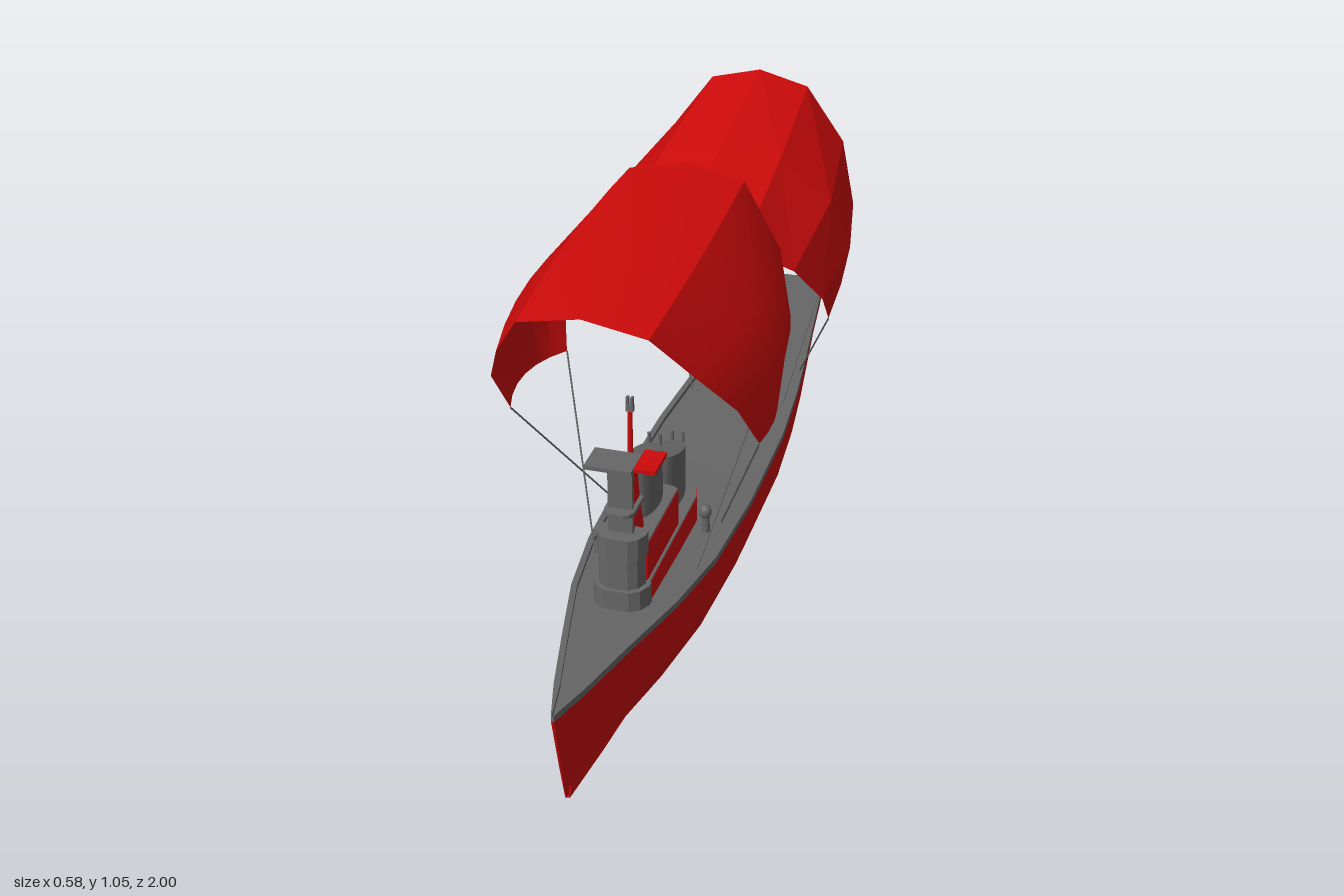
import * as THREE from 'three';
import { mergeVertices, toCreasedNormals } from 'three/addons/utils/BufferGeometryUtils.js';

const CX = 0.012; // centreline of the ship
const material = (color, flatShading = false) =>
  new THREE.MeshStandardMaterial({ color, flatShading, side: THREE.DoubleSide });
const red = material(0xcc0a0a);
const redFlat = material(0xcc0a0a, true);
const grey = material(0x666666);

// Skin through cross-sections ordered from bow to stern
function loft(rings, { closed = false, caps = false } = {}) {
  const n = rings[0].length;
  const pos = rings.flat(2);
  const index = [];
  for (let i = 0; i < rings.length - 1; i++) {
    for (let j = 0; j < (closed ? n : n - 1); j++) {
      const a = i * n + j, c = i * n + (j + 1) % n;
      index.push(a, c, a + n, c, c + n, a + n);
    }
  }
  if (caps) {
    const last = (rings.length - 1) * n;
    for (let j = 1; j < n - 1; j++) {
      index.push(0, j + 1, j, last, last + j, last + j + 1);
    }
  }
  const g = new THREE.BufferGeometry();
  g.setAttribute('position', new THREE.Float32BufferAttribute(pos, 3));
  g.setIndex(index);
  return toCreasedNormals(mergeVertices(g), 0.6);
}

export function createModel() {
  const root = new THREE.Group();
  root.name = 'airship';
  const ship = new THREE.Group();
  ship.name = 'ship';
  ship.position.x = CX;
  root.add(ship);

  const add = (name, geo, mat, x = 0, y = 0, z = 0, parent = ship) => {
    const m = new THREE.Mesh(geo, mat);
    m.name = name;
    m.position.set(x, y, z);
    parent.add(m);
    return m;
  };
  const box = (name, mat, w, y0, y1, z0, z1, x = 0) =>
    add(name, new THREE.BoxGeometry(w, y1 - y0, z1 - z0), mat, x, (y0 + y1) / 2, (z0 + z1) / 2);

  // Hull stations: z, half width, sheer height, bilge half width, bilge height, bilge z
  const stations = [
    [1, 0.003, 0.31, 0.002, 0.065, 0.94],
    [0.9, 0.032, 0.308, 0.012, 0.075, 0.88],
    [0.75, 0.068, 0.306, 0.038, 0.09, 0.74],
    [0.55, 0.115, 0.297, 0.08, 0.096, 0.55],
    [0.35, 0.143, 0.285, 0.108, 0.096, 0.35],
    [0.1, 0.153, 0.278, 0.118, 0.095, 0.1],
    [-0.2, 0.15, 0.278, 0.116, 0.096, -0.2],
    [-0.4, 0.135, 0.282, 0.1, 0.098, -0.4],
    [-0.56, 0.117, 0.286, 0.08, 0.104, -0.56],
    [-0.68, 0.102, 0.289, 0.065, 0.125, -0.68],
    [-0.78, 0.09, 0.293, 0.055, 0.16, -0.77],
    [-1, 0.062, 0.298, 0.042, 0.175, -0.96],
  ];
  const hullRings = stations.map(([z, w, y, wb, yb, zb]) => {
    const top = y - 0.015;
    const half = [[w, top, z], [w * 0.7 + wb * 0.3, yb + (top - yb) * 0.42, z * 0.42 + zb * 0.58], [wb, yb + 0.006, zb]];
    const other = half.map(([px, py, pz]) => [-px, py, pz]).reverse();
    return [...half, [0, yb - 0.002, zb], ...other];
  });
  add('hull', loft(hullRings, { caps: true }), red);

  // Deck sunk behind a raised rim
  const deckRings = stations.map(([z, w, y]) => {
    const wi = Math.max(w - 0.013, w * 0.3);
    const half = [[-w, y - 0.015, z], [-w, y, z], [-wi, y, z], [-wi, y - 0.01, z]];
    return [...half, ...half.map(([px, py, pz]) => [-px, py, pz]).reverse()];
  });
  add('deck', loft(deckRings, { caps: true }), grey);

  // Forward keel, red at the bow and grey toward the pod
  const keelRing = (z, w) =>
    [[w * 0.75, 0.115], [w, 0.08], [w * 0.6, 0.058], [-w * 0.6, 0.058], [-w, 0.08], [-w * 0.75, 0.115]]
      .map(([x, y]) => [x, y, z]);
  add('bowKeel', loft([keelRing(0.93, 0.008), keelRing(0.8, 0.03), keelRing(0.62, 0.045)], { closed: true, caps: true }), red);
  add('aftKeel', loft([keelRing(0.62, 0.045), keelRing(0.36, 0.047)], { closed: true, caps: true }), grey);

  // Rounded pod under the belly
  const podProfile = [[0, -0.343], [0.045, -0.34], [0.07, -0.325], [0.085, -0.29], [0.085, 0.32], [0.074, 0.36], [0.045, 0.39], [0, 0.405]]
    .map(([r, z]) => new THREE.Vector2(r, z));
  const pod = new THREE.LatheGeometry(podProfile, 14);
  pod.rotateX(Math.PI / 2);
  add('bellyPod', toCreasedNormals(pod, 0.7), grey, 0, 0.085, 0);

  // Deckhouses: plan with chamfered corners at the back and front
  function house(name, mat, w, y0, y1, zb, zf, cb, cf) {
    const s = new THREE.Shape();
    const side = [[w * 0.45, zf], [w * 0.8, zf - cf * 0.35], [w, zf - cf], [w, zb + cb], [w * 0.8, zb + cb * 0.35], [w * 0.45, zb]];
    const pts = [...side, ...side.map(([x, z]) => [-x, z]).reverse()];
    s.setFromPoints(pts.map(([x, z]) => new THREE.Vector2(x, -z)));
    const g = new THREE.ExtrudeGeometry(s, { depth: y1 - y0, bevelEnabled: false });
    g.rotateX(-Math.PI / 2);
    return add(name, g, mat, 0, y0, 0);
  }
  house('lowerHouse', red, 0.057, 0.265, 0.33, 0.15, 0.57, 0.05, 0.02);
  house('lowerRoof', grey, 0.056, 0.33, 0.334, 0.152, 0.57, 0.05, 0.02);
  house('upperHouse', red, 0.05, 0.33, 0.418, 0.31, 0.555, 0.01, 0.01);
  house('upperRoof', grey, 0.049, 0.418, 0.423, 0.312, 0.555, 0.01, 0.01);
  house('bridgeBase', grey, 0.06, 0.28, 0.335, 0.54, 0.605, 0.01, 0.04);
  house('bridge', grey, 0.05, 0.33, 0.405, 0.545, 0.595, 0.01, 0.035);
  house('bridgeTop', grey, 0.053, 0.405, 0.455, 0.535, 0.597, 0.01, 0.035);
  house('lookoutPlatform', grey, 0.032, 0.503, 0.512, 0.5, 0.593, 0.01, 0.02);

  // Tapered tower with grey front face
  const towerSide = new THREE.Shape([[0.48, 0.42], [0.56, 0.42], [0.56, 0.598], [0.522, 0.598], [0.508, 0.52]]
    .map(([z, y]) => new THREE.Vector2(-z, y)));
  const tower = new THREE.ExtrudeGeometry(towerSide, { depth: 0.046, bevelEnabled: false });
  tower.translate(0, 0, -0.023);
  tower.rotateY(Math.PI / 2);
  add('tower', tower, red);
  box('towerFront', grey, 0.052, 0.45, 0.6, 0.555, 0.566);
  box('rightYard', grey, 0.1, 0.597, 0.606, 0.5, 0.575, -0.023);
  box('leftYard', red, 0.046, 0.597, 0.606, 0.48, 0.56, 0.05);
  add('mast', new THREE.CylinderGeometry(0.005, 0.006, 0.1, 8), red, 0, 0.652, 0.492);
  for (const s of [-1, 1]) box('mastFork', grey, 0.005, 0.7, 0.73, 0.487, 0.497, s * 0.005);
  box('mastCap', grey, 0.016, 0.698, 0.712, 0.487, 0.497);

  // Oval funnels with tops sloping down toward the stern
  for (const [z, y0, h] of [[0.39, 0.42, 0.125], [0.22, 0.33, 0.125]]) {
    const g = new THREE.CylinderGeometry(1, 1, h, 20);
    g.scale(0.03, 1, 0.07);
    g.translate(0, h / 2, 0);
    const p = g.attributes.position;
    for (let i = 0; i < p.count; i++) {
      if (p.getY(i) > h / 2) p.setY(i, h + p.getZ(i) * 0.25);
    }
    add('funnel', toCreasedNormals(g, 0.6), grey, 0, y0, z);
    for (const s of [-1, 1]) {
      add('funnelPipe', new THREE.CylinderGeometry(0.004, 0.004, h + 0.01, 6), grey, s * 0.012, y0 + h / 2 + 0.003, z - 0.064);
    }
  }

  // Cowl vents beside the deckhouse
  for (const s of [-1, 1]) {
    add('ventStem', new THREE.CylinderGeometry(0.008, 0.009, 0.055, 10), grey, s * 0.088, 0.295, 0.24);
    const cowl = add('ventCowl', new THREE.SphereGeometry(0.014, 10, 8), grey, s * 0.088, 0.325, 0.244);
    cowl.scale.y = 1.2;
  }

  // Canopy sails: half arch from apex to hem, each row [front x,y,z], [back x,y,z]
  function sail(name, cx, rows, bulge, lift, mat, steps) {
    const rings = [];
    for (let i = 0; i <= steps; i++) {
      const t = i / steps, b = 4 * t * (1 - t);
      const half = rows.map(([f, k], r) => {
        const [x, y, z] = f.map((v, a) => v + (k[a] - v) * t);
        return [r ? x + bulge * b * (r > 1 ? 1 : 0.3) : 0, y + lift * b, z];
      });
      const right = half.slice(1).map(([x, y, z]) => [-x, y, z]).reverse();
      rings.push([...right, ...half]);
    }
    add(name, loft(rings), mat, cx, 0, 0, root);
  }
  const foreRows = [
    [[0, 1.037, 0.76], [0, 1.052, 0.05]],
    [[0.13, 1.01, 0.755], [0.125, 1.03, 0.06]],
    [[0.2, 0.9, 0.68], [0.212, 0.9, 0.09]],
    [[0.253, 0.785, 0.58], [0.25, 0.77, 0.14]],
    [[0.265, 0.64, 0.45], [0.22, 0.66, 0.22]],
  ];
  const aftRows = [
    [[0, 0.893, 0.09], [0, 1.015, -0.6]],
    [[0.135, 0.873, 0.06], [0.115, 0.985, -0.6]],
    [[0.225, 0.785, -0.04], [0.205, 0.86, -0.595]],
    [[0.27, 0.68, -0.13], [0.24, 0.715, -0.57]],
    [[0.25, 0.55, -0.29], [0.205, 0.605, -0.5]],
  ];
  sail('foreSail', 0.005, foreRows, 0.03, 0.008, red, 6);
  sail('aftSail', -0.008, aftRows, 0.027, 0.01, redFlat, 2);

  // Crossed rigging lines from sail hems to the deck
  function line(from, to) {
    const a = new THREE.Vector3(...from), b = new THREE.Vector3(...to);
    const m = add('riggingLine', new THREE.CylinderGeometry(0.002, 0.002, a.distanceTo(b), 5), grey, 0, 0, 0, root);
    m.position.lerpVectors(a, b, 0.5);
    m.quaternion.setFromUnitVectors(new THREE.Vector3(0, 1, 0), b.sub(a).normalize());
  }
  for (const [rows, cx, zFront, zBack] of [[foreRows, 0.005, 0.2, 0.4], [aftRows, -0.008, -0.51, -0.35]]) {
    const [front, back] = rows[4];
    for (const s of [-1, 1]) {
      line([cx + s * front[0], front[1], front[2]], [CX + s * 0.112, 0.275, zFront]);
      line([cx + s * back[0], back[1], back[2]], [CX + s * 0.112, 0.275, zBack]);
    }
  }
  return root;
}
